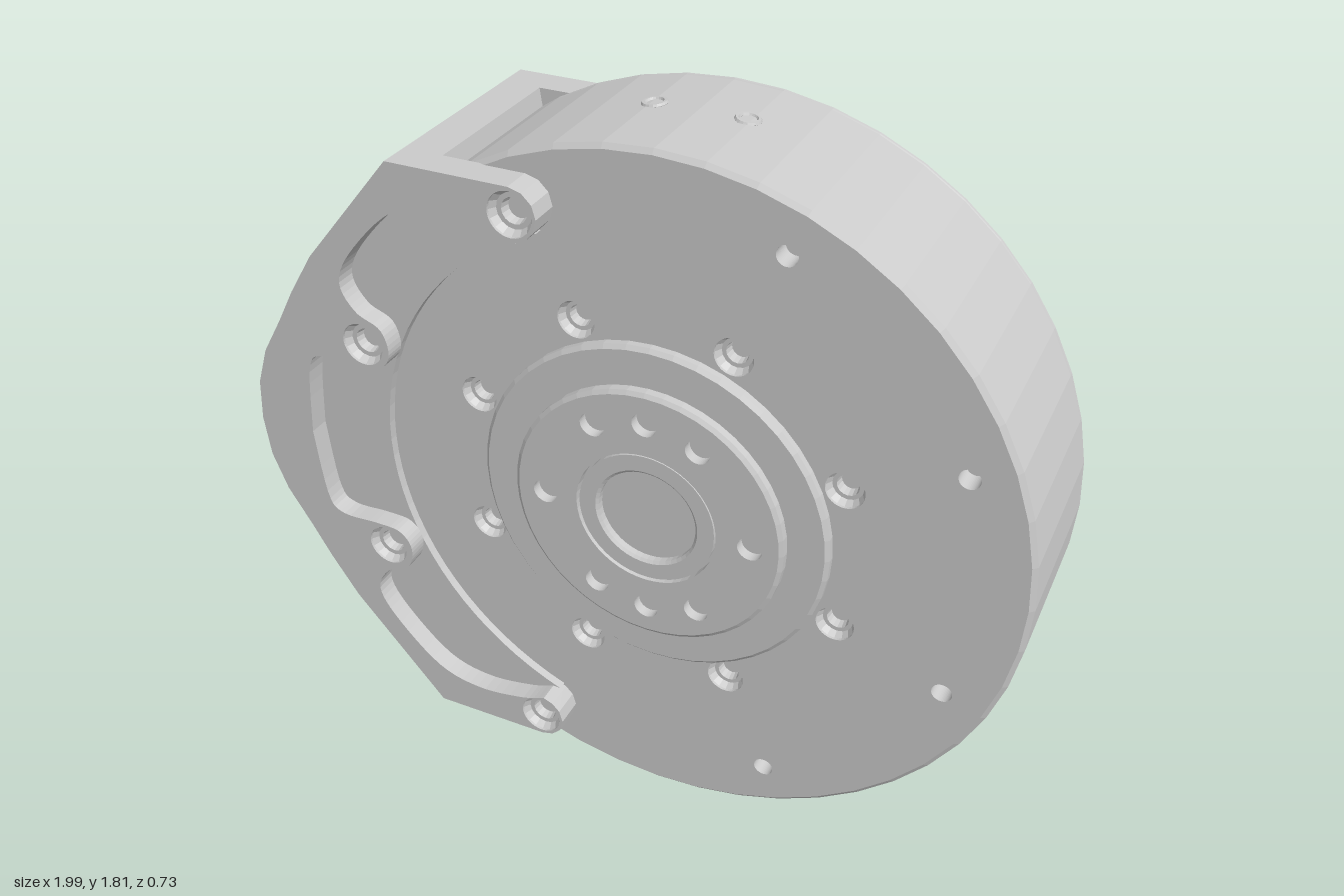
import * as THREE from 'three';

const grey = new THREE.MeshStandardMaterial({ color: 0xcccccc, flatShading: true, side: THREE.DoubleSide });
const V = (x, y) => new THREE.Vector2(x, y);
const polar = (r, deg) => V(r * Math.cos(deg * Math.PI / 180), r * Math.sin(deg * Math.PI / 180));

function circle(r, c = V(0, 0), Type = THREE.Shape) {
  return new Type().absarc(c.x, c.y, r, 0, Math.PI * 2, false);
}
function drill(shape, centres, r) {
  for (const c of centres) shape.holes.push(circle(r, c, THREE.Path));
  return shape;
}

export function createModel() {
  const model = new THREE.Group();
  model.name = 'rotaryActuator';
  model.position.set(0.09, 0.91, 0); // disc axis

  const add = (name, geo) => {
    const m = new THREE.Mesh(geo, grey);
    m.name = name;
    model.add(m);
    return m;
  };
  // Flat slab between two z levels
  const slab = (name, shape, z0, z1) => {
    const geo = new THREE.ExtrudeGeometry(shape, { depth: z1 - z0, bevelEnabled: false, curveSegments: 24 });
    return add(name, geo.translate(0, 0, z0));
  };
  // Surface turned around the z axis; profile points are (radius, z)
  const turned = (name, pts, n = 48) =>
    add(name, new THREE.LatheGeometry(pts.map(p => V(...p)), n).rotateX(Math.PI / 2));
  // Recessed socket screw filling a hole of radius r; dir is the facing along z
  const screw = (c, z, dir, r = 0.047) => {
    const m = turned('socketScrew', [[r, -0.006], [r * 0.8, -0.022], [r * 0.58, -0.022], [r * 0.5, -0.046], [0, -0.046]], 16);
    m.position.set(c.x, c.y, z);
    if (dir < 0) m.rotation.y = Math.PI;
  };
  const ring = (r, angles) => angles.map(a => polar(r, a));

  // ---- Main disc ----
  const hubScrews = ring(0.5, [0, 1, 2, 3, 4, 5, 6, 7].map(i => 22.5 + 45 * i));
  const sideAngles = [67.5, 22.5, -22.5, -67.5];
  const rearScrews = ring(0.81, [...sideAngles.flatMap(a => [a - 4.7, a + 4.7]), 106, -106]);
  const rearPins = ring(0.745, sideAngles);

  turned('discRim', [[0.89, -0.155], [0.905, -0.147], [0.905, -0.14], [0.902, -0.137], [0.905, -0.134], [0.905, 0.28], [0.893, 0.29], [0.89, 0.29]]);
  slab('discCore', circle(0.89), -0.1, 0.235);
  const front = drill(drill(circle(0.893), hubScrews, 0.047), ring(0.79, sideAngles), 0.025);
  slab('discFrontFace', front, 0.235, 0.29);
  const rear = drill(drill(circle(0.893), rearScrews, 0.042), rearPins, 0.022);
  slab('discRearFace', rear, -0.155, -0.1);
  hubScrews.forEach(c => screw(c, 0.29, 1));
  rearScrews.forEach(c => screw(c, -0.155, -1, 0.042));

  // Plug rings on top of the rim
  for (const x of [-0.11, 0.11]) {
    const plug = add('rimPlug', new THREE.TorusGeometry(0.025, 0.006, 6, 20).rotateX(Math.PI / 2));
    plug.position.set(x, Math.sqrt(0.905 ** 2 - x * x) - 0.001, 0.045);
    plug.rotation.z = -x / 0.905;
  }

  // ---- Output hub ----
  turned('hubStep', [[0.445, 0.285], [0.445, 0.306], [0.435, 0.315], [0, 0.315]]);
  const flange = drill(circle(0.335), [V(0, 0)], 0.18);
  drill(flange, ring(0.264, [0, 60, 90, 120, 180, 240, 270, 300]), 0.031);
  slab('hubFlange', flange, 0.315, 0.342);
  turned('hubFlangeEdge', [[0.345, 0.31], [0.345, 0.335], [0.335, 0.342]]);
  turned('hubCentreRing', [[0.174, 0.315], [0.174, 0.338], [0.132, 0.338], [0.125, 0.332], [0.125, 0.316]]);

  // ---- Rear cap with screw notches and one flat ----
  const capShape = (R, notched) => {
    const edge = a => polar(Math.min(R, 0.58 / Math.max(0.5, Math.cos((a - 225) * Math.PI / 180))), a);
    const pts = [];
    for (let a = 0; a < 360; a += 3) {
      const k = (a - 15) % 60;
      if (notched && k === 0) {
        const dir = polar(1, a), side = V(-dir.y, dir.x);
        const at = (r, s) => pts.push(V(dir.x * r + side.x * s, dir.y * r + side.y * s));
        const out = edge(a).length();
        at(out, -0.032);
        for (let i = 0; i <= 6; i++) at(0.59 - 0.032 * Math.sin(i * Math.PI / 6), -0.032 * Math.cos(i * Math.PI / 6));
        at(out, 0.032);
      } else if (!notched || Math.abs(k) > 3 && Math.abs(k) < 57) pts.push(edge(a));
    }
    return new THREE.Shape(pts);
  };
  slab('capBase', circle(0.655), -0.2, -0.155);
  slab('capBody', capShape(0.655, false), -0.315, -0.2);
  slab('capLid', capShape(0.655, true), -0.352, -0.315);
  slab('capLidFace', capShape(0.647, true), -0.36, -0.352);

  // ---- Clamp bracket ----
  // Outer edge, upper half, from the tip ear to the boss
  const outer = [V(-0.302, 0.795), V(-0.61, 0.795), V(-0.85, 0.51), V(-0.92, 0.4), V(-0.97, 0.31), V(-1.03, 0.21), V(-1.065, 0.11)];
  const mirror = pts => pts.map(p => V(p.x, -p.y)).reverse();
  const outline = [...outer, V(-1.075, 0), ...mirror(outer)];
  const tip = polar(0.79, 112.5);
  const tipArc = [-80, -55, -30, 0, 30, 60].map(a => polar(0.065, a).add(tip));

  // Thin floor layer, bounded inside by an arc
  const arc = [];
  for (let a = 248; a >= 112; a -= 4) arc.push(polar(0.72, a));
  const floor = new THREE.Shape([...outline, ...mirror(tipArc), ...arc, ...tipArc]);

  // Raised layer, with pockets between the screw ears
  const half = new THREE.SplineCurve([
    V(-0.29, 0.665), V(-0.36, 0.69), V(-0.49, 0.705), V(-0.61, 0.67), V(-0.73, 0.55), V(-0.775, 0.46), V(-0.74, 0.39),
    V(-0.675, 0.355), V(-0.658, 0.29), V(-0.69, 0.245), V(-0.76, 0.238), V(-0.86, 0.238), V(-0.9, 0.19), V(-0.92, 0),
  ]).getPoints(70);
  const inner = [...half, ...mirror(half).slice(1)].reverse();
  const ears = ring(0.79, [112.5, 157.5, 202.5, 247.5]);
  const raised = drill(new THREE.Shape([...outline, ...mirror(tipArc), ...inner, ...tipArc]), ears, 0.055);

  slab('bracketFrontFloor', floor, 0.285, 0.312);
  slab('bracketFrontPlate', raised, 0.312, 0.365);
  slab('bracketRearFloor', floor, -0.182, -0.15);
  slab('bracketRearPlate', raised, -0.235, -0.182);
  ears.forEach(c => { screw(c, 0.365, 1, 0.055); screw(c, -0.235, -1, 0.055); });

  // Wall joining both plates, hugging the disc
  const wallArc = [];
  for (let a = 236; a >= 124; a -= 4) wallArc.push(polar(0.9, a));
  const wall = new THREE.Shape([V(-0.51, 0.795), V(-0.61, 0.795), V(-0.85, 0.51), V(-0.85, -0.51), V(-0.61, -0.795), V(-0.51, -0.795), ...wallArc]);
  slab('bracketWall', wall, -0.155, 0.29);

  // Flare from the round boss to the bracket: [x, half height, squareness]
  const sections = [[-1.09, 0.26, 0], [-1.075, 0.268, 0.12], [-1.04, 0.3, 0.4], [-0.97, 0.365, 0.75], [-0.91, 0.44, 0.92], [-0.85, 0.51, 1]];
  const N = 48, pos = [], idx = [];
  sections.forEach(([x, h, t], j) => {
    for (let i = 0; i < N; i++) {
      const a = i / N * Math.PI * 2, c = Math.cos(a), s = Math.sin(a);
      const k = 1 + t * (1 / Math.max(Math.abs(c), Math.abs(s)) - 1);
      pos.push(x, h * c * k, 0.065 + Math.max(-0.298, Math.min(0.298, (0.26 - 0.015 * t) * s * k)));
      if (j) {
        const p = (j - 1) * N + i, q = (j - 1) * N + (i + 1) % N;
        idx.push(p, q, p + N, q, q + N, p + N);
      }
    }
  });
  const flare = new THREE.BufferGeometry();
  flare.setAttribute('position', new THREE.Float32BufferAttribute(pos, 3));
  flare.setIndex(idx);
  flare.computeVertexNormals();
  add('bossFlare', flare);

  // Boss end face with bolt circle and stepped bore
  const bossPart = (name, shape, x0, x1) => {
    const m = slab(name, shape, 0, x0 - x1);
    m.rotation.y = -Math.PI / 2;
    m.position.set(x0, 0, 0.065);
  };
  const bolts = ring(0.18, [30, 90, 150, 210, 270, 330]);
  bossPart('bossFace', drill(drill(circle(0.26), bolts, 0.029), [V(0, 0)], 0.105), -1.05, -1.09);
  bossPart('bossBoreStep', drill(circle(0.2), [V(0, 0)], 0.075), -1.0, -1.05);
  bossPart('bossBoreFloor', circle(0.2), -0.97, -1.0);

  return model;
}
